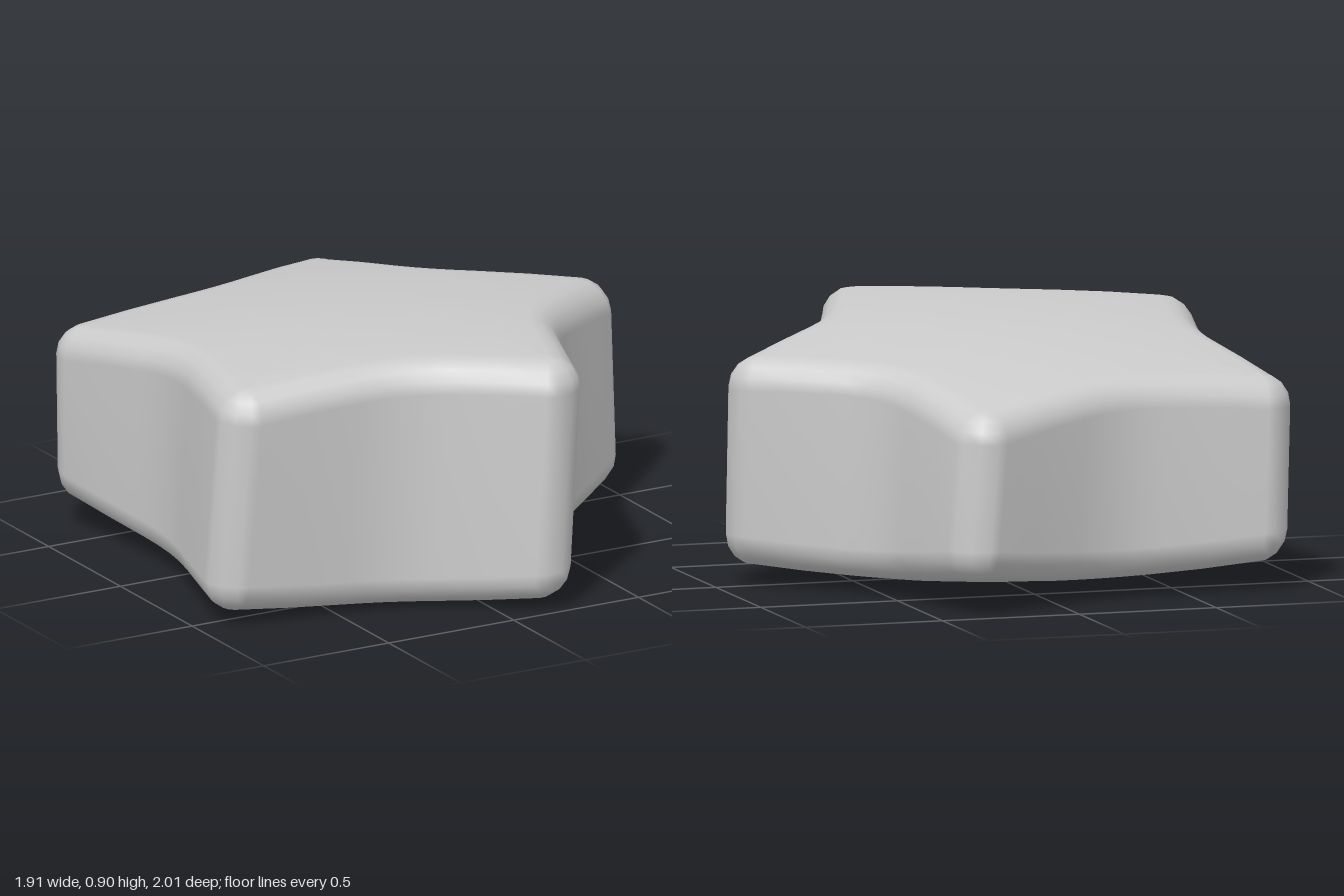
import * as THREE from 'three';

// Inner star in the ground plane (x, z): tips and valleys alternate, starting with a tip
const STAR = [
  [0.84, 0.0], [0.39, 0.37], [0.18, 0.885], [-0.27, 0.61], [-0.825, 0.545],
  [-0.675, -0.02], [-0.775, -0.605], [-0.2, -0.625], [0.32, -0.885], [0.43, -0.36],
].map(([x, z]) => new THREE.Vector2(x, z));
const BEVEL = 0.112;
const SOFTEN = 0.34; // share of each flank taken up by the valley curve
const TWIST = 0.075; // radians per unit of height

// Slightly domed, tilted faces
const topY = (x, z) => 0.873 - 0.012 * x + 0.097 * z - 0.073 * (x * x + z * z);
const bottomY = (x, z) => 0.008 + 0.012 * x - 0.045 * z + 0.074 * (x * x + z * z);

// Outline points with outward normals: fans round the tips, soft curves in the valleys
function starOutline() {
  const n = STAR.length, steps = 4, out = [];
  STAR.forEach((p, i) => {
    const prev = STAR[(i + n - 1) % n], next = STAR[(i + 1) % n];
    const normal = (a, b) => new THREE.Vector2(b.y - a.y, a.x - b.x).normalize();
    const n0 = normal(prev, p), n1 = normal(p, next);
    const valley = i % 2 === 1;
    const a = p.clone().lerp(prev, SOFTEN), b = p.clone().lerp(next, SOFTEN);
    for (let k = 0; k <= steps; k++) {
      const t = k / steps;
      const dir = n0.clone().lerp(n1, t).normalize();
      const pos = valley
        ? a.clone().lerp(p, t).lerp(p.clone().lerp(b, t), t)
        : p.clone().addScaledVector(dir, 0.004);
      out.push({ pos, dir });
    }
    // extra point halfway along the straight flank
    const from = valley ? b : p;
    const to = valley ? next : next.clone().lerp(p, SOFTEN);
    out.push({ pos: from.clone().lerp(to, 0.5), dir: n1 });
  });
  return out;
}

// Cross-sections from the middle of the top face, over the rim, to the middle of the base
function ringRules() {
  const half = (isTop) => {
    const list = [0, 0.25, 0.5, 0.75].map((scale) => ({ isTop, scale, angle: 0 }));
    for (let k = 0; k <= 4; k++) list.push({ isTop, scale: 1, angle: (k / 4) * Math.PI / 2 });
    return list;
  };
  return [...half(true), ...half(false).reverse()];
}

function starGeometry() {
  const outline = starOutline(), rings = ringRules();
  const m = outline.length, last = rings.length - 1;
  const positions = [], index = [];
  rings.forEach(({ isTop, scale, angle }) => {
    outline.forEach(({ pos, dir }) => {
      const ix = pos.x * scale, iz = pos.y * scale;
      const reach = BEVEL * Math.sin(angle), drop = BEVEL * (1 - Math.cos(angle));
      const x = ix + dir.x * reach, z = iz + dir.y * reach;
      const y = isTop ? topY(ix, iz) - drop : bottomY(ix, iz) + drop;
      const turn = TWIST * (0.45 - y), c = Math.cos(turn), s = Math.sin(turn);
      positions.push(x * c - z * s, y, z * c + x * s);
    });
  });
  // the first and last rings collapse to one shared centre vertex
  const id = (r, j) => r * m + (r === 0 || r === last ? 0 : j % m);
  for (let r = 0; r < last; r++) {
    for (let j = 0; j < m; j++) {
      const a = id(r, j), b = id(r, j + 1), c = id(r + 1, j), d = id(r + 1, j + 1);
      if (a !== b) index.push(a, b, c);
      if (c !== d) index.push(b, d, c);
    }
  }
  const geometry = new THREE.BufferGeometry();
  geometry.setAttribute('position', new THREE.Float32BufferAttribute(positions, 3));
  geometry.setIndex(index);
  geometry.computeVertexNormals();
  return geometry;
}

export function createModel() {
  const group = new THREE.Group();
  group.name = 'star';
  const body = new THREE.Mesh(starGeometry(), new THREE.MeshStandardMaterial({ color: 0xcccccc }));
  body.name = 'starBody';
  group.add(body);
  return group;
}
